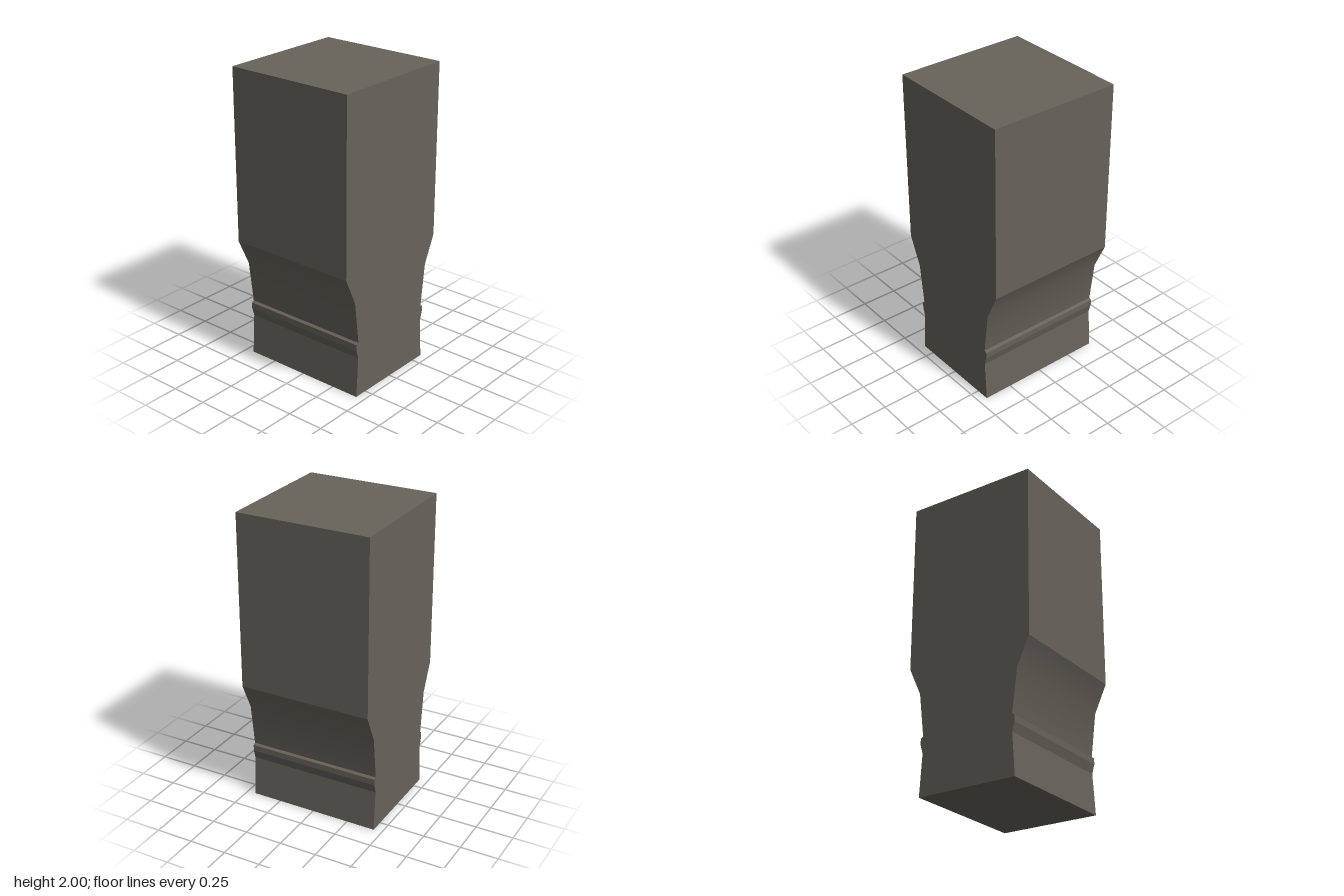
import * as THREE from 'three';

const HALF = 0.443;
const COVE_Y = 0.665;

// half depth and height up the moulded front
const PROFILE = [
  [0.34, 0], [0.323, 0.27], [0.34, 0.33], [0.34, 0.37],
  [0.323, 0.38], [0.358, COVE_Y], [HALF, 0.85], [HALF, 2],
];

export function createModel() {
  const group = new THREE.Group();
  group.name = 'corbelBlock';
  const stone = new THREE.MeshStandardMaterial({ color: 0x66635a });
  stone.name = 'greyStone';

  // mirrored profile, extruded across the width
  const right = PROFILE.map(([z, y]) => new THREE.Vector2(z, y));
  const left = PROFILE.map(([z, y]) => new THREE.Vector2(-z, y)).reverse();
  const geometry = new THREE.ExtrudeGeometry(new THREE.Shape([...right, ...left]), {
    depth: 2 * HALF, bevelEnabled: false,
  });
  geometry.translate(0, 0, -HALF);
  geometry.rotateY(Math.PI / 2);
  geometry.computeVertexNormals();

  // smooth the bend in the middle of the cove
  const position = geometry.attributes.position;
  const normal = geometry.attributes.normal;
  const tilt = (Math.atan2(0.035, 0.285) + Math.atan2(0.085, 0.185)) / 2;
  for (let i = 0; i < position.count; i++) {
    if (Math.abs(position.getY(i) - COVE_Y) < 0.001 && Math.abs(normal.getX(i)) < 0.5) {
      normal.setXYZ(i, 0, -Math.sin(tilt), Math.sign(position.getZ(i)) * Math.cos(tilt));
    }
  }

  const block = new THREE.Mesh(geometry, stone);
  block.name = 'mouldedBlock';
  group.add(block);
  return group;
}
